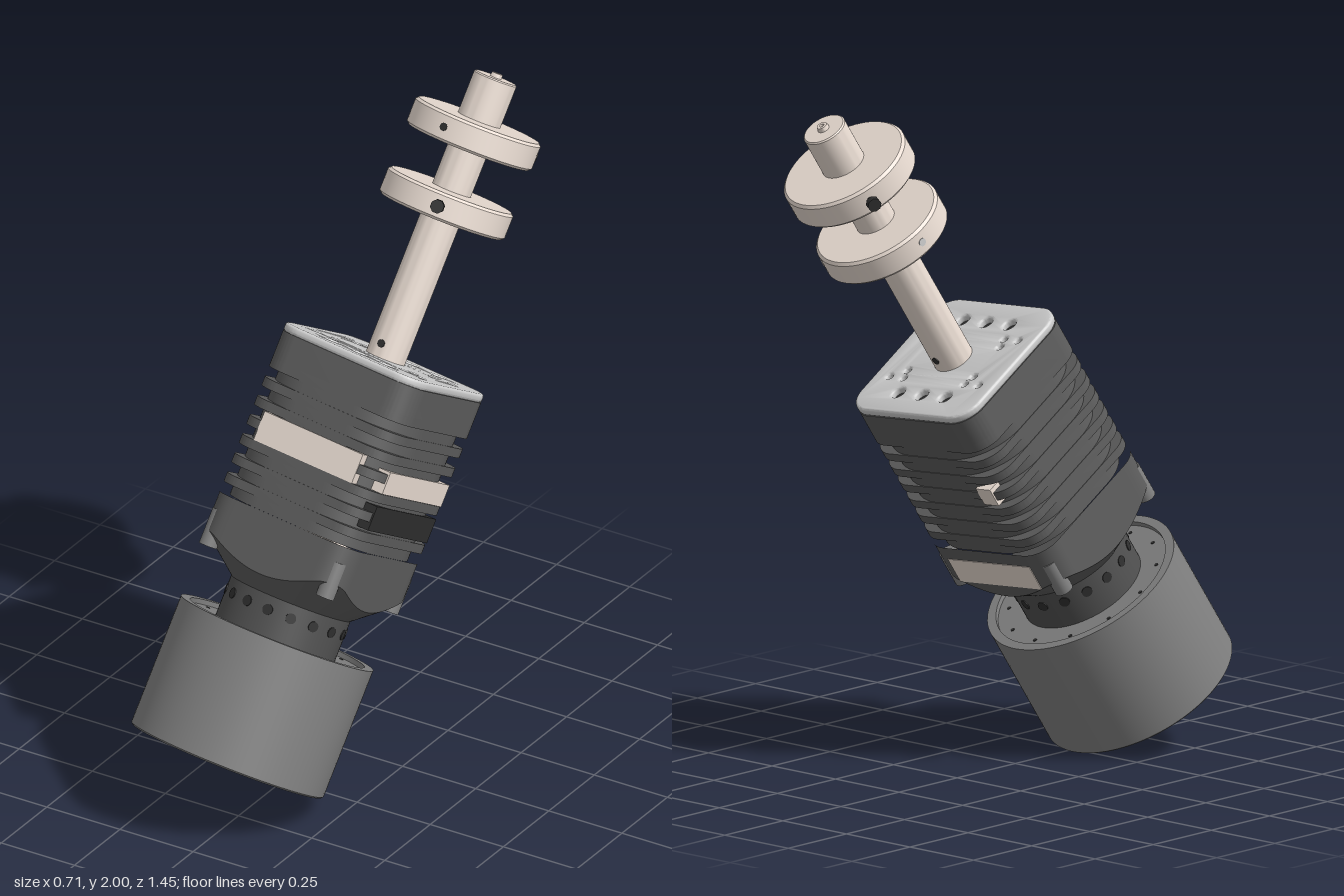
import * as THREE from 'three';
import { toCreasedNormals } from 'three/addons/utils/BufferGeometryUtils.js';

const mat = (color) => new THREE.MeshStandardMaterial({ color });
const CREAM = mat(0xe9dcd2), DARK = mat(0x5c5c5c), MOTOR = mat(0x808080),
  PLATE = mat(0xbfbfbf), HOLE = mat(0x2e2e2e), NECK = mat(0x505050);
const HALF = 0.248;

function add(parent, name, geo, material, x = 0, y = 0, z = 0) {
  const mesh = new THREE.Mesh(geo, material);
  mesh.name = name;
  mesh.position.set(x, y, z);
  parent.add(mesh);
  return mesh;
}

// Turned part from [radius, height] pairs, listed from the bottom up
function turned(points, segments = 64) {
  const g = new THREE.LatheGeometry(points.map(([r, y]) => new THREE.Vector2(r, y)), segments);
  return toCreasedNormals(g, 0.6);
}

// Short rod pointing outward at an angle measured from +z towards +x
function radial(parent, name, angle, r0, r1, y, radius, material, sides = 16) {
  const rod = add(parent, name, new THREE.CylinderGeometry(radius, radius, r1 - r0, sides), material);
  const mid = (r0 + r1) / 2;
  const dir = new THREE.Vector3(Math.sin(angle), 0, Math.cos(angle));
  rod.position.copy(dir).multiplyScalar(mid).setY(y);
  rod.quaternion.setFromUnitVectors(new THREE.Vector3(0, 1, 0), dir);
}

// Square with rounded corners
function roundedSquare(half, radius) {
  const s = new THREE.Shape(), c = half - radius;
  [[c, c], [-c, c], [-c, -c], [c, -c]].forEach(([x, y], i) =>
    s.absarc(x, y, radius, i * Math.PI / 2, (i + 1) * Math.PI / 2, false));
  s.closePath();
  return s;
}

function slab(shape, depth, bevel = 0) {
  const g = new THREE.ExtrudeGeometry(shape, {
    depth: depth - 2 * bevel, curveSegments: 10, bevelEnabled: bevel > 0,
    bevelSize: bevel, bevelThickness: bevel, bevelOffset: -bevel, bevelSegments: 3,
  });
  g.translate(0, 0, bevel).rotateX(-Math.PI / 2);
  return toCreasedNormals(g, 0.6);
}

// Lower housing: a cone that meets the rounded square sides in arcs
function coneBase(top) {
  const ring = roundedSquare(HALF, 0.08).getSpacedPoints(128);
  const pos = [], index = [], n = ring.length;
  for (const p of ring) {
    const r = p.length(), k = 0.175 / r;
    pos.push(p.x * k, 0.5, -p.y * k);
    pos.push(p.x, 0.5 + (r - 0.175) * 0.82, -p.y);
    pos.push(p.x, top, -p.y);
  }
  for (let i = 0; i < n - 1; i++) {
    for (let j = 0; j < 2; j++) {
      const a = i * 3 + j, b = a + 3;
      index.push(a, b, b + 1, a, b + 1, a + 1);
    }
  }
  const g = new THREE.BufferGeometry();
  g.setAttribute('position', new THREE.Float32BufferAttribute(pos, 3));
  g.setIndex(index);
  return toCreasedNormals(g, 0.4);
}

function buildMotor(parent) {
  const motor = new THREE.Group();
  motor.name = 'motor';
  parent.add(motor);
  add(motor, 'motorCan', turned([[0, 0], [0.295, 0], [0.3, 0.005], [0.3, 0.4], [0.272, 0.4],
    [0.272, 0.385], [0, 0.385]], 96), MOTOR);
  for (let i = 0; i < 12; i++) {
    const a = i * Math.PI / 6;
    add(motor, 'rimHole', new THREE.CylinderGeometry(0.006, 0.006, 0.004, 10), HOLE,
      0.24 * Math.sin(a), 0.385, 0.24 * Math.cos(a));
  }
  // Neck with its ring of vent holes
  add(motor, 'neck', turned([[0.186, 0.38], [0.186, 0.52], [0, 0.52]]), NECK);
  for (let i = 0; i < 16; i++) {
    radial(motor, 'neckHole', (i + 0.5) * Math.PI / 8, 0.17, 0.188, 0.468, 0.016, HOLE);
  }
}

function buildHousing(parent) {
  const housing = new THREE.Group();
  housing.name = 'housing';
  parent.add(housing);
  const full = roundedSquare(HALF, 0.08), cut = roundedSquare(HALF - 0.002, 0.16);
  const first = 0.73, pitch = 0.06, gap = 0.032, slots = 7;
  add(housing, 'housingBase', coneBase(first), DARK);

  // Cooling fins: cut corners alternate with full corners
  for (let i = 0; i < slots; i++) {
    const y = first + i * pitch;
    add(housing, 'finGap', slab(cut, gap), DARK, 0, y);
    add(housing, 'fin', slab(full, pitch - gap), DARK, 0, y + gap);
  }
  const finTop = first + slots * pitch;
  add(housing, 'housingTop', slab(full, 1.235 - finTop), DARK, 0, finTop);

  // Top plate with mounting holes
  const plate = roundedSquare(HALF, 0.08);
  const drill = (x, y, r) => plate.holes.push(new THREE.Path().absarc(x, y, r, 0, Math.PI * 2, true));
  for (const s of [-1, 1]) {
    for (const x of [-0.097, 0, 0.097]) drill(x, s * 0.162, 0.021);
    for (const m of [-1, 1]) {
      for (const [x, y] of [[0.185, 0.1], [0.127, 0.1], [0.137, 0.067]]) drill(m * x, s * y, 0.011);
    }
  }
  add(housing, 'topPlate', slab(plate, 0.026, 0.008), PLATE, 0, 1.234);
  add(housing, 'holeFloor', new THREE.BoxGeometry(0.42, 0.004, 0.38), HOLE, 0, 1.236);

  // Inlaid bands on the sides
  const band = (name, w, h, d, x, y, z, m) => add(housing, name, new THREE.BoxGeometry(w, h, d), m, x, y, z);
  const e = HALF - 0.018;
  band('frontBand', 0.35, 0.09, 0.04, 0, 0.955, e, CREAM);
  band('leftBand', 0.04, 0.068, 0.38, e, 0.945, 0, CREAM);
  band('leftGroove', 0.04, 0.075, 0.38, e, 0.835, 0, HOLE);
  band('backBandEnd', 0.06, 0.06, 0.04, -0.16, 0.955, -e, CREAM);
  band('backPanel', 0.34, 0.085, 0.04, 0, 0.645, -e, CREAM);

  // Corner bolts
  for (const x of [-1, 1]) {
    for (const z of [-1, 1]) {
      add(housing, 'cornerBolt', new THREE.CylinderGeometry(0.028, 0.028, 0.11, 20), MOTOR,
        x * 0.208, 0.625, z * 0.208);
    }
  }
}

function buildShaft(parent) {
  const shaft = new THREE.Group();
  shaft.name = 'shaft';
  parent.add(shaft);
  add(shaft, 'shaftRod', turned([[0.06, 1.25], [0.06, 1.93], [0.066, 1.93], [0.066, 2.135],
    [0.062, 2.139], [0.018, 2.139], [0.016, 2.152], [0.007, 2.152], [0.007, 2.14], [0, 2.14]], 48), CREAM);
  for (const a of [0, Math.PI]) radial(shaft, 'shaftHole', a, 0.04, 0.0615, 1.3, 0.012, HOLE);

  // Two collars, each with one thumb screw and two empty screw holes
  for (const [y0, y1, screw, hole] of [[1.705, 1.787, 0.38, PLATE], [1.922, 2.006, Math.PI * 4 / 3, HOLE]]) {
    add(shaft, 'collar', turned([[0.04, y0], [0.187, y0], [0.195, y0 + 0.008], [0.195, y1 - 0.008],
      [0.187, y1], [0.04, y1]], 80), CREAM);
    const y = (y0 + y1) / 2;
    for (let i = 1; i < 3; i++) {
      radial(shaft, 'screwHole', screw + i * Math.PI * 2 / 3, 0.17, 0.1965, y, 0.012, hole);
    }
    radial(shaft, 'screwStem', screw, 0.17, 0.22, y, 0.011, HOLE);
    radial(shaft, 'screwHead', screw, 0.213, 0.233, y, 0.021, HOLE, 8);
  }
}

export function createModel() {
  const model = new THREE.Group();
  model.name = 'motorAssembly';
  // Everything is built upright along y, then leaned back and sideways
  const assembly = new THREE.Group();
  assembly.name = 'tiltedAssembly';
  assembly.rotation.set(-0.547, 0, -0.1086);
  assembly.position.set(-0.055, 0.158, 0.475);
  model.add(assembly);
  buildMotor(assembly);
  buildHousing(assembly);
  buildShaft(assembly);
  return model;
}
